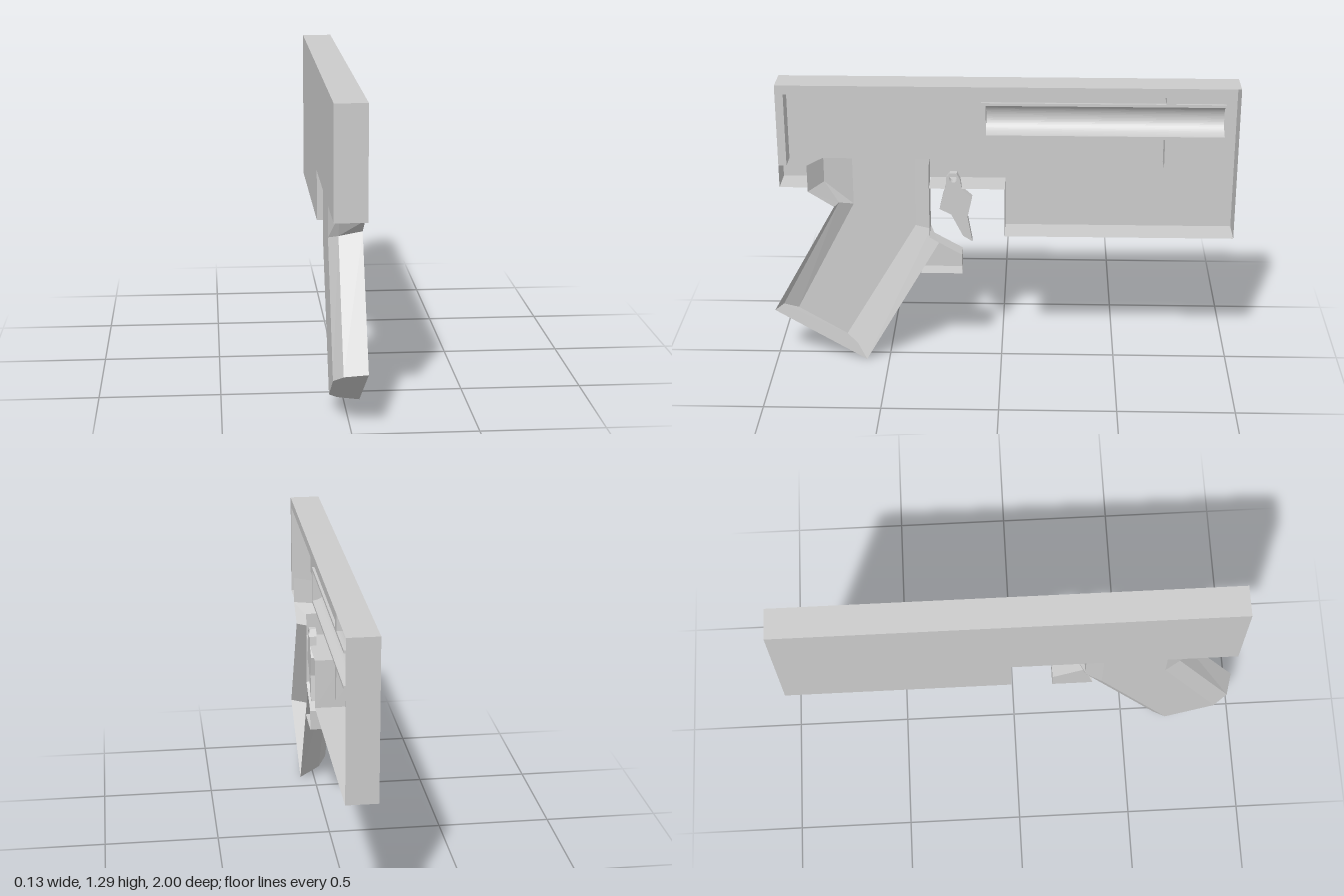
import * as THREE from 'three';

// Half shell: outer skin at x = OUT, open along the parting plane x = IN
const OUT = -0.067, IN = 0.065;

const material = new THREE.MeshStandardMaterial({
  color: 0xcccccc, flatShading: true, side: THREE.DoubleSide,
});

function part(name, geometry) {
  const mesh = new THREE.Mesh(geometry, material);
  mesh.name = name;
  return mesh;
}

// Side profile given as [z, y] points
const profile = (pts) => new THREE.Shape(pts.map(([z, y]) => new THREE.Vector2(-z, y)));

// Side profile extruded across the width from x0 to x1
function slab(shape, x0, x1) {
  const g = new THREE.ExtrudeGeometry(shape, { depth: x1 - x0, bevelEnabled: false, curveSegments: 10 });
  return g.rotateY(Math.PI / 2).translate(x0, 0, 0);
}

// Surface skinned through rows of [x, y, z] points
function loft(rows) {
  const position = [];
  for (let i = 0; i < rows.length - 1; i++) {
    for (let j = 0; j < rows[i].length - 1; j++) {
      const a = rows[i][j], b = rows[i][j + 1], c = rows[i + 1][j + 1], d = rows[i + 1][j];
      position.push(...a, ...b, ...c, ...a, ...c, ...d);
    }
  }
  const g = new THREE.BufferGeometry();
  g.setAttribute('position', new THREE.Float32BufferAttribute(position, 3));
  g.computeVertexNormals();
  return g;
}

// Thin wall following a [z, y] path between x0 and the parting plane
const wall = (path, x0) => loft([x0, IN].map((x) => path.map(([z, y]) => [x, y, z])));

// Flat thin plate at x0
const plate = (pts, x0) =>
  new THREE.ShapeGeometry(profile(pts)).rotateY(Math.PI / 2).translate(x0, 0, 0);

function createSlide() {
  const group = new THREE.Group();
  group.name = 'slide';
  const floor = -0.025;
  group.add(
    part('slideSide', slab(profile([[0.95, 0.93], [-0.73, 0.93], [-0.73, 1.29], [0.95, 1.29]]), OUT, floor)),
    // Rear and top rim, ending above the barrel opening
    part('slideRim', slab(profile([
      [0.95, 0.93], [0.915, 0.93], [0.915, 1.25], [-0.69, 1.25],
      [-0.69, 1.22], [-0.73, 1.22], [-0.73, 1.29], [0.95, 1.29],
    ]), floor, IN)),
    // Front wall below the barrel opening
    part('slideFrontWall', slab(profile([
      [-0.69, 0.93], [-0.73, 0.93], [-0.73, 1.065], [-0.69, 1.065],
    ]), floor, IN)),
  );
  return group;
}

function createFrame() {
  const group = new THREE.Group();
  group.name = 'frame';
  const rear = [[0.95, 0.93], [0.95, 0.83], [0.83, 0.83]];
  const front = [[0.31, 0.83], [-0.015, 0.83], [-0.015, 0.61], [-1, 0.61], [-1, 1.29], [-0.73, 1.29]];
  group.add(
    part('frameSide', plate([...rear, ...front, [-0.73, 0.93]], OUT)),
    part('frameRearWall', wall(rear, OUT)),
    part('frameFrontWall', wall(front, OUT)),
  );
  return group;
}

function createBarrel() {
  const group = new THREE.Group();
  group.name = 'barrel';
  const r = 0.078, inner = 0.066, y = 1.142, back = 0.085, front = -0.94;
  const extrude = (shape, depth, z) => new THREE.ExtrudeGeometry(shape, {
    depth, bevelEnabled: false, curveSegments: 16,
  }).translate(IN, y, z);

  // Half tube, bulging towards the outer skin
  const tube = new THREE.Shape();
  tube.absarc(0, 0, r, Math.PI / 2, Math.PI * 1.5, false);
  tube.absarc(0, 0, inner, Math.PI * 1.5, Math.PI / 2, true);
  const end = new THREE.Shape();
  end.absarc(0, 0, r, Math.PI / 2, Math.PI * 1.5, false);

  group.add(
    part('barrelTrough', extrude(tube, back - 0.02 - front, front)),
    part('barrelEnd', extrude(end, 0.02, back - 0.02)),
  );
  return group;
}

function createGrip() {
  const group = new THREE.Group();
  group.name = 'grip';
  // Across each section: rear edge, rear chamfer, front chamfer, front edge
  const xs = [IN, -0.03, OUT, OUT, -0.03, IN];
  const rows = [
    [[0.83, 0.93], [0.77, 0.93], [0.65, 0.93], [0.38, 0.93], [0.31, 0.93], [0.31, 0.93]],
    [[0.83, 0.81], [0.77, 0.82], [0.65, 0.83], [0.38, 0.64], [0.31, 0.62], [0.31, 0.605]],
    [[0.72, 0.74], [0.71, 0.72], [0.65, 0.7], [0.38, 0.6], [0.31, 0.6], [0.27, 0.575]],
    [[1, 0.24], [0.975, 0.225], [0.915, 0.19], [0.7, 0.06], [0.65, 0.03], [0.6, 0]],
  ].map((row) => row.map(([z, y], i) => [xs[i], y, z]));
  const b = rows[3];
  group.add(
    part('gripShell', loft(rows)),
    part('gripBase', loft([[b[0], b[1], b[2]], [b[5], b[4], b[3]]])),
  );
  return group;
}

function createGuard() {
  const group = new THREE.Group();
  group.name = 'guardTongue';
  const path = [[0.31, 0.6], [0.17, 0.52], [0.17, 0.43], [0.35, 0.43]];
  group.add(
    part('guardSide', plate(path, -0.01)),
    part('guardWall', wall(path, -0.01)),
  );
  return group;
}

function createTrigger() {
  const shape = profile([
    [0.235, 0.88], [0.22, 0.9], [0.19, 0.9], [0.175, 0.87], [0.17, 0.83], [0.125, 0.79], [0.145, 0.7],
    [0.125, 0.585], [0.165, 0.61], [0.215, 0.71], [0.265, 0.735], [0.25, 0.8], [0.235, 0.85],
  ]);
  const pivot = new THREE.Path();
  pivot.absarc(-0.205, 0.875, 0.016, 0, Math.PI * 2, true);
  shape.holes.push(pivot);
  return part('trigger', slab(shape, 0.035, IN));
}

export function createModel() {
  const model = new THREE.Group();
  model.name = 'pistolHalfShell';
  model.add(createSlide(), createFrame(), createBarrel(), createGrip(), createGuard(), createTrigger());
  return model;
}
